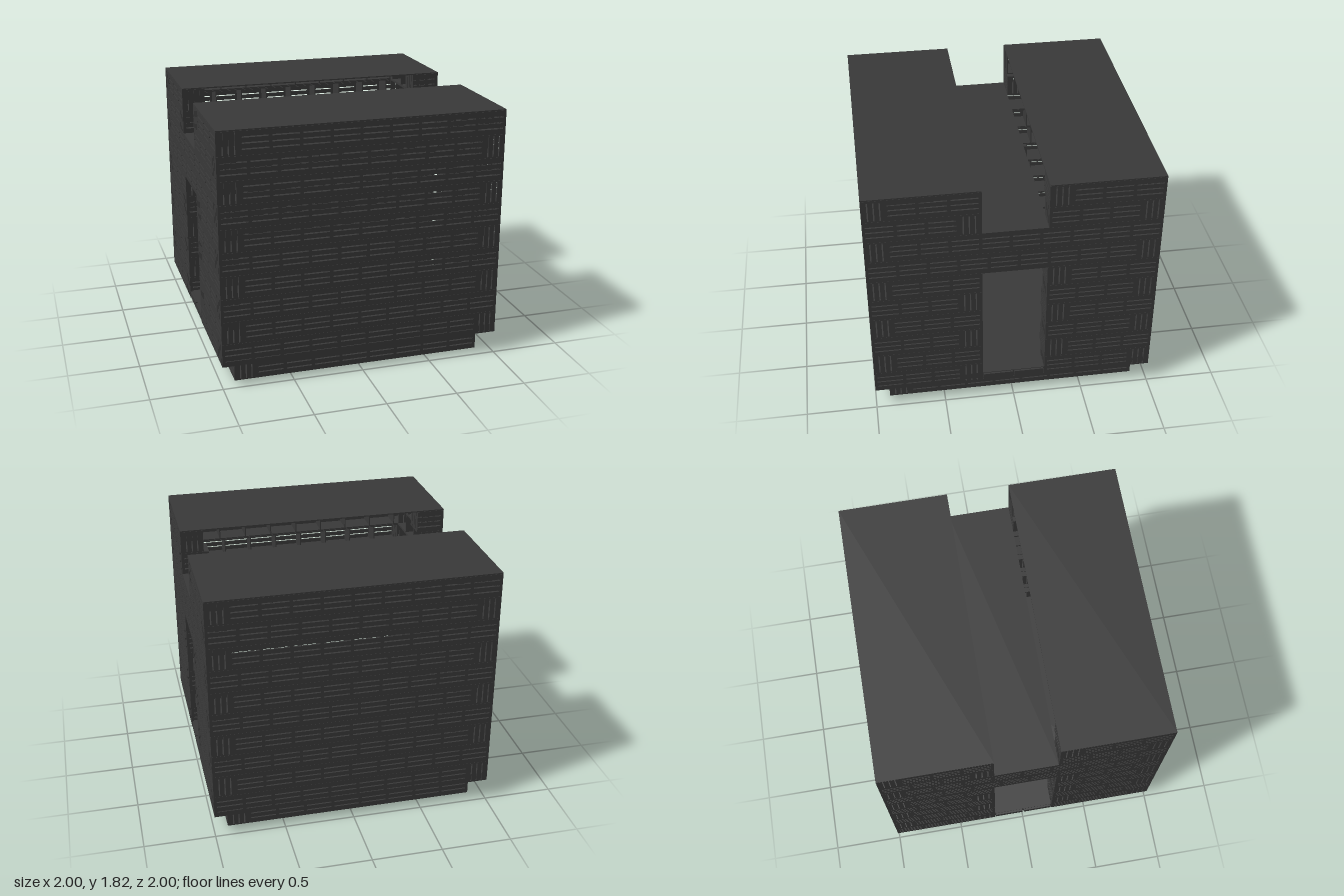
import * as THREE from 'three';
import { mergeGeometries } from 'three/addons/utils/BufferGeometryUtils.js';

const D = 0.165;            // wall depth
const P = 0.1642;           // course height
const U = (2 - D) / 9;      // length of one wall cell
const T = 0.008;            // panel thickness
const SLIT = 0.0045;        // half width of a slit
const h = P - 0.001;        // block height, leaving a hairline joint
const TOP = 1.815;
const material = new THREE.MeshStandardMaterial({ color: 0x3a3a3a, flatShading: true });

function rect(Type, x0, y0, x1, y1) {
  const p = new Type();
  p.moveTo(x0, y0);
  p.lineTo(x1, y0);
  p.lineTo(x1, y1);
  p.lineTo(x0, y1);
  p.closePath();
  return p;
}

function extrude(shape) {
  return new THREE.ExtrudeGeometry(shape, { depth: T, bevelEnabled: false });
}

function slab(x0, x1, y0, y1, z0, z1) {
  return new THREE.BoxGeometry(x1 - x0, y1 - y0, z1 - z0)
    .translate((x0 + x1) / 2, (y0 + y1) / 2, (z0 + z1) / 2).toNonIndexed();
}

// Face panel with three slits per cell; the wider stile is on the corner side
function facePanel(n, flip) {
  const s = rect(THREE.Shape, 0, 0, n * U, h);
  const [a, b] = flip ? [0.02, U - 0.003] : [0.003, U - 0.02];
  for (let i = 0; i < n; i++) for (const d of [-0.04, 0, 0.04]) {
    const y = h / 2 + d;
    s.holes.push(rect(THREE.Path, i * U + a, y - SLIT, i * U + b, y + SLIT));
  }
  return extrude(s).translate(0, 0, -T);
}

// Upright across the wall, with three vertical slits at the wall ends
function upright(slitted) {
  const s = rect(THREE.Shape, T, 0, D, h);
  if (slitted) for (const d of [-0.04, 0, 0.04]) {
    const x = D / 2 + d;
    s.holes.push(rect(THREE.Path, x - SLIT, 0.009, x + SLIT, h - 0.009));
  }
  return extrude(s).rotateY(Math.PI / 2);
}

// A run of n open-backed cells along +x, slit face towards +z
const cache = {};
function wallGeometry(n, flip) {
  const key = n + ':' + flip;
  if (cache[key]) return cache[key];
  const parts = [facePanel(n, flip)];
  for (let i = 0; i <= n; i++) {
    const x = i === 0 ? 0 : i === n ? n * U - T : i * U - T / 2;
    parts.push(upright(i === 0 || i === n).translate(x, 0, 0));
  }
  for (const y of [0, h - T]) parts.push(slab(0, n * U, y, y + T, -D, -T));
  return (cache[key] = mergeGeometries(parts));
}

// Four walls chasing each other round a rectangle; flip swaps the corner laps.
// An open back keeps only the single corner cell of the back wall.
function ring(name, nx, nz, y, cz, flip, openBack) {
  const g = new THREE.Group();
  g.name = name;
  const a = (nx * U + D) / 2, b = (nz * U + D) / 2, o = flip ? 0 : D;
  const back = openBack
    ? ['passageCorner', 1, flip ? a : -a + U, -b, Math.PI]
    : ['backWall', nx, a - o, -b, Math.PI];
  const walls = [
    ['frontWall', nx, -a + o, b, 0],
    ['leftWall', nz, a, b - o, Math.PI / 2],
    back,
    ['rightWall', nz, -a, -b + o, -Math.PI / 2],
  ];
  for (const [label, n, x, z, turn] of walls) {
    const m = new THREE.Mesh(wallGeometry(n, flip), material);
    m.name = label;
    m.position.set(x, y, z + cz);
    m.rotation.y = turn;
    g.add(m);
  }
  return g;
}

export function createModel() {
  const model = new THREE.Group();
  model.name = 'slottedBlockBuilding';
  const depth = 3 * U + D, inner = 1 - depth;   // tower depth and passage half width

  const addSlab = (parent, name, ...size) => {
    const m = new THREE.Mesh(slab(...size), material);
    m.name = name;
    parent.add(m);
  };

  // Recessed base and floor
  model.add(ring('base', 8, 8, 0, 0, false, false));
  addSlab(model, 'floor', -0.985, 0.985, P, 0.22, -0.985, 0.985);
  for (const s of [-1, 1]) for (const t of [-1, 1]) {
    const x = s * 0.991, z = t * inner / 2;
    addSlab(model, 'doorSill', x - 0.008, x + 0.008, P + 0.006, 0.215,
      z - inner / 2 + 0.006, z + inner / 2 - 0.006);
  }

  // Two towers open to the passage, with full-square courses for the bridge
  const towers = [0, 1].map((i) => {
    const t = new THREE.Group();
    t.name = i ? 'backTower' : 'frontTower';
    t.rotation.y = i * Math.PI;
    model.add(t);
    return t;
  });
  for (let i = 1; i <= 10; i++) {
    const flip = i % 2 === 1;
    if (i === 7 || i === 8) model.add(ring('bridgeCourse', 9, 9, i * P, 0, flip, false));
    else for (const t of towers) {
      t.add(ring('towerCourse', 9, 3, i * P, 1 - depth / 2, flip, true));
    }
  }

  // Roofs and bridge decks
  for (const t of towers) addSlab(t, 'towerRoof', -1, 1, 11 * P, TOP, inner, 1);
  addSlab(model, 'bridgeRoof', -1, 1, 9 * P - 0.001, 9 * P + 0.002, -inner, inner);
  addSlab(model, 'bridgeUnderside', -1, 1, 7 * P - 0.003, 7 * P, -inner, inner);
  return model;
}
